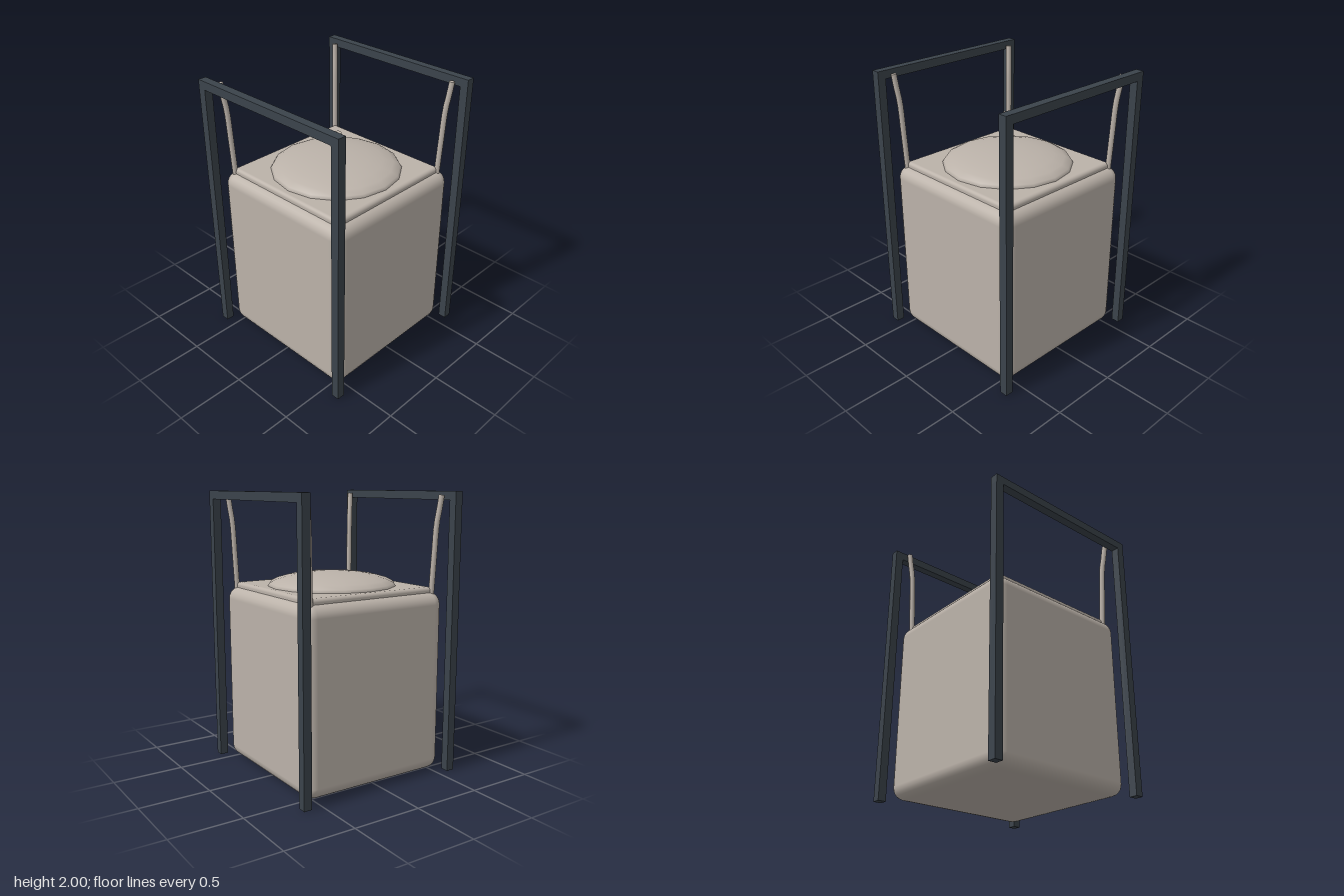
import * as THREE from 'three';
import { RoundedBoxGeometry } from 'three/addons/geometries/RoundedBoxGeometry.js';

export function createModel() {
  const model = new THREE.Group();
  model.name = 'bulkBagOnFrame';

  const fabric = new THREE.MeshStandardMaterial({ color: 0xbbb2a9 });
  fabric.name = 'beige fabric';
  const steel = new THREE.MeshStandardMaterial({ color: 0x3b434b });
  steel.name = 'dark steel';

  const add = (name, geometry, material, x = 0, y = 0, z = 0) => {
    const mesh = new THREE.Mesh(geometry, material);
    mesh.name = name;
    mesh.position.set(x, y, z);
    model.add(mesh);
    return mesh;
  };

  // Bag body, lid panel and bulging fill
  add('bagBody', new RoundedBoxGeometry(1.14, 1.3, 1.14, 3, 0.085), fabric, 0, 0.655, 0);
  add('bagLid', new RoundedBoxGeometry(1.02, 0.08, 1.02, 2, 0.025), fabric, 0, 1.3, 0);
  const dome = new THREE.SphereGeometry(0.465, 16, 6, 0, Math.PI * 2, 0, Math.PI / 2 + 0.001);
  dome.scale(1, 0.1 / 0.465, 1);
  add('bagBulge', dome, fabric, 0, 1.335, 0);

  // Frame: two upright hoops, front and back
  const bar = 0.06;
  const reach = 0.61;
  for (const [sz, side] of [[1, 'front'], [-1, 'back']]) {
    add(side + 'Rail', new THREE.BoxGeometry(2 * reach + bar, bar, bar), steel, 0, 2 - bar / 2, sz * reach);
    for (const [sx, hand] of [[1, 'Left'], [-1, 'Right']]) {
      add(side + hand + 'Post', new THREE.BoxGeometry(bar, 2 - bar, bar), steel, sx * reach, 1 - bar / 2, sz * reach);

      // Lifting strap rising from the bag corner and leaning outward
      const points = [[0.503, 1.29], [0.512, 1.55], [0.521, 1.78], [0.532, 1.88], [0.541, 1.975]]
        .map(([r, y]) => new THREE.Vector3(sx * r, y, sz * r));
      const path = new THREE.CatmullRomCurve3(points);
      add(side + hand + 'Strap', new THREE.TubeGeometry(path, 12, 0.02, 8), fabric);

      // Closed strap tip
      const tip = add(side + hand + 'StrapTip', new THREE.CircleGeometry(0.02, 8), fabric);
      tip.position.copy(points[4]);
      tip.quaternion.setFromUnitVectors(new THREE.Vector3(0, 0, 1), path.getTangent(1));
    }
  }
  return model;
}
